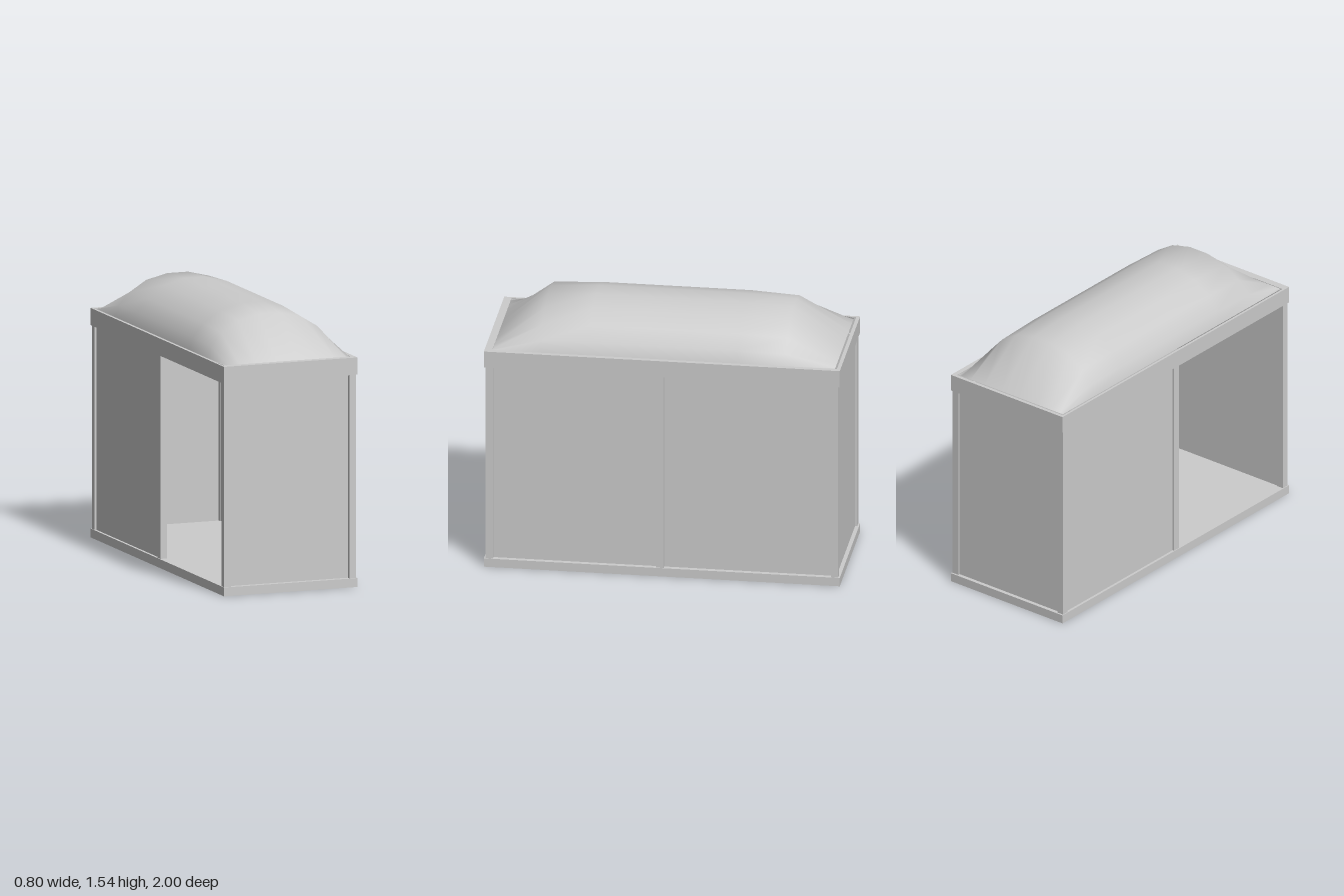
import * as THREE from 'three';

const grey = new THREE.MeshStandardMaterial({ color: 0xcccccc });
const greyDouble = new THREE.MeshStandardMaterial({ color: 0xcccccc, side: THREE.DoubleSide });

// Box given by its extents on each axis
function block(name, x0, x1, y0, y1, z0, z1) {
  const mesh = new THREE.Mesh(new THREE.BoxGeometry(x1 - x0, y1 - y0, z1 - z0), grey);
  mesh.position.set((x0 + x1) / 2, (y0 + y1) / 2, (z0 + z1) / 2);
  mesh.name = name;
  return mesh;
}

// Arched roof lofted from half sections; both end sections lie flat on the rim
function roofGeometry() {
  const half = [[0.373, 0], [0.352, 0.07], [0.288, 0.146], [0.188, 0.213], [0.063, 0.246]];
  const arch = [...half.map(([x, y]) => [-x, y]), ...half.slice().reverse()];
  const sections = [[0.958, 0], [0.69, 0.93], [0.42, 1], [0.14, 1], [-0.14, 1], [-0.42, 1], [-0.69, 0.93], [-0.968, 0]];
  const positions = [], indices = [], n = arch.length;
  for (const [z, rise] of sections) {
    for (const [x, y] of arch) positions.push(x - 0.003, 1.294 + y * rise, z);
  }
  for (let j = 0; j < sections.length - 1; j++) {
    for (let i = 0; i < n - 1; i++) {
      const a = j * n + i, b = a + 1, c = a + n, d = c + 1;
      indices.push(a, b, c, b, d, c);
    }
  }
  const geometry = new THREE.BufferGeometry();
  geometry.setAttribute('position', new THREE.Float32BufferAttribute(positions, 3));
  geometry.setIndex(indices);
  geometry.computeVertexNormals();
  return geometry;
}

export function createModel() {
  const group = new THREE.Group();
  const low = 0.05, high = 1.2;

  group.add(block('base', -0.4, 0.4, 0, low, -1, 1));

  // Corner posts and the middle post of each long side
  for (const s of [-1, 1]) {
    const x0 = s > 0 ? 0.355 : -0.395, x1 = x0 + 0.04;
    group.add(block('cornerPostFront', x0, x1, low, high, 0.95, 0.99));
    group.add(block('cornerPostBack', x0, x1, low, high, -0.99, -0.95));
    group.add(block('middlePost', x0, x1, low, high, -0.01, 0.033));
  }

  // Recessed wall panels; the front half of the right side stays open
  group.add(block('frontPanel', -0.36, 0.36, low, high, 0.955, 0.968));
  group.add(block('backPanel', -0.36, 0.36, low, high, -0.978, -0.965));
  group.add(block('leftPanelFront', 0.36, 0.373, low, high, 0.033, 0.955));
  group.add(block('leftPanelBack', 0.36, 0.373, low, high, -0.955, -0.01));
  group.add(block('rightPanelBack', -0.385, -0.372, low, high, -0.955, -0.01));

  // Open rim around the top
  const rim = new THREE.Shape([[-0.4, -1], [0.4, -1], [0.4, 1], [-0.4, 1]].map(p => new THREE.Vector2(...p)));
  rim.holes.push(new THREE.Path([[-0.386, -0.957], [-0.386, 0.98], [0.372, 0.98], [0.372, -0.957]].map(p => new THREE.Vector2(...p))));
  const rimGeometry = new THREE.ExtrudeGeometry(rim, { depth: 0.097, bevelEnabled: false });
  rimGeometry.rotateX(-Math.PI / 2);
  const topRim = new THREE.Mesh(rimGeometry, grey);
  topRim.position.y = high;
  topRim.name = 'topRim';
  group.add(topRim);

  const roof = new THREE.Mesh(roofGeometry(), greyDouble);
  roof.name = 'archedRoof';
  group.add(roof);

  return group;
}
